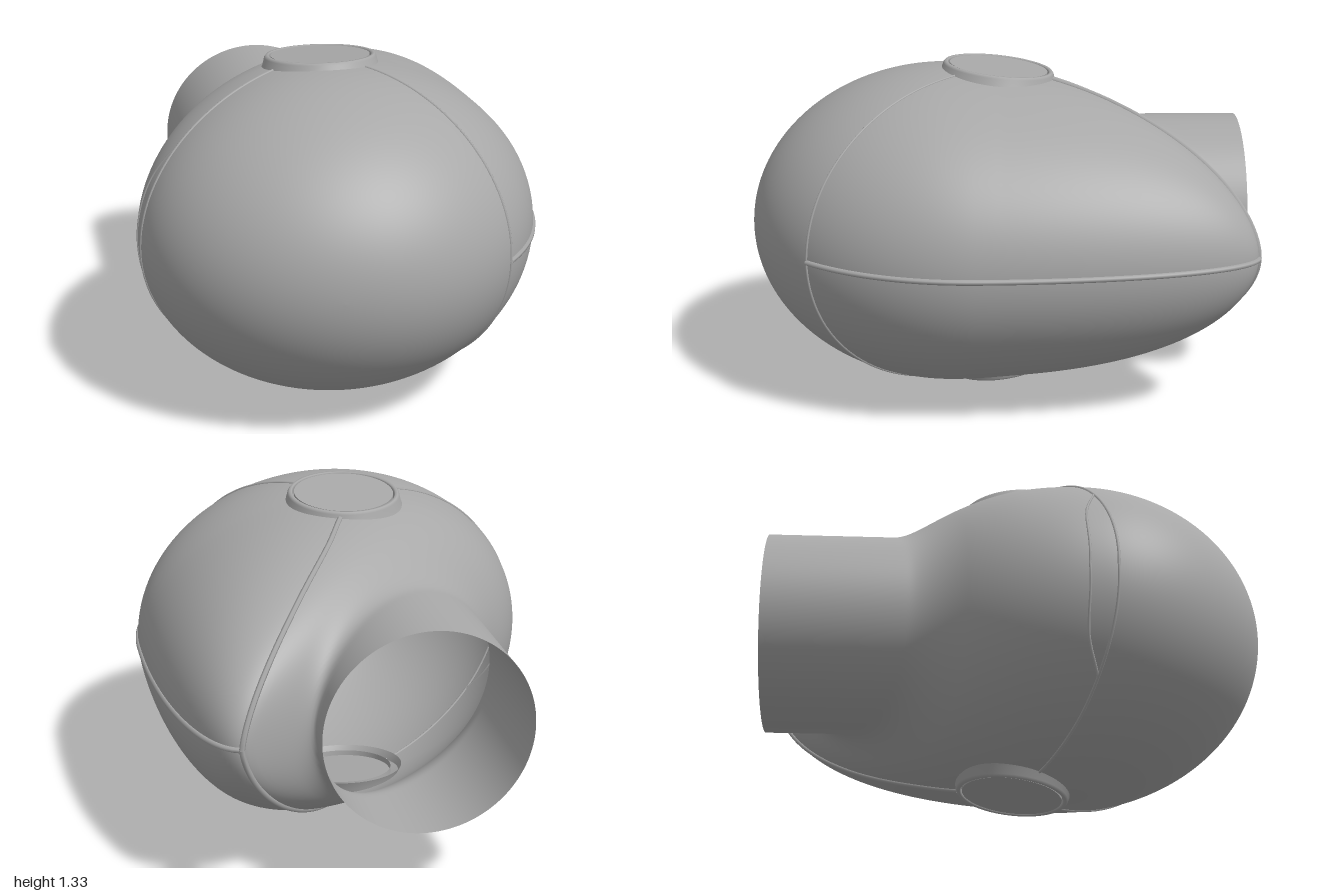
import * as THREE from 'three';

const MID = 0.665;                                   // height of the symmetry plane
const NECK_X = -0.15, NECK_R = 0.4;
const round = (u) => Math.sqrt(Math.max(0, 1 - u * u));

// Cross-section of the pod at depth z: ridge, left and right edges, half height
function section(z) {
  const back = Math.min(1, Math.max(0, -z));
  const ridge = -0.04 + 0.57 * Math.pow(back, 1.5);
  const left = z > 0.3 ? -0.04 - 0.78 * round((z - 0.3) / 0.7)
    : -0.82 + 1.35 * Math.pow(Math.min(1, (0.3 - z) / 1.3), 2.2);
  const right = z > 0.1 ? -0.04 + 0.84 * round((z - 0.1) / 0.9)
    : 0.53 + 0.27 * round((0.1 - z) / 1.1);
  const h = z > 0.2 ? 0.64 * round((z - 0.2) / 0.8)
    : 0.64 * Math.pow(round((0.2 - z) / 1.2), 1.1);
  return { ridge, left, right, h: Math.max(h, 0.003) };
}

// Signed field: teardrop pod blended with the round neck
function field(x, y, z) {
  const s = section(z), dx = x - s.ridge;
  const semi = Math.max(dx > 0 ? s.right - s.ridge : s.ridge - s.left, 0.003);
  const pod = (Math.hypot(dx / semi, y / s.h) - 1) * Math.min(semi, s.h);
  const neck = Math.hypot(x - NECK_X, y, Math.max(0, z)) - NECK_R;
  const k = 0.1, m = Math.max(k - Math.abs(pod - neck), 0) / k;
  return Math.min(pod, neck) - m * m * k * 0.25;
}

// Where a ray from the inner centre meets the shell
function hit(d) {
  const f = (t) => field(NECK_X + d.x * t, d.y * t, d.z * t);
  let hi = 0.2;
  while (hi < 2 && f(hi) < 0) hi += 0.02;
  let lo = hi - 0.02;
  for (let i = 0; i < 18; i++) {
    const m = (lo + hi) / 2;
    if (f(m) < 0) lo = m; else hi = m;
  }
  if (d.z * lo < -1) lo = -1 / d.z;
  return new THREE.Vector3(NECK_X + d.x * lo, MID + d.y * lo, d.z * lo);
}

// Smooth shell, swept in rings from the neck opening to the nose
function shellGeometry() {
  const rows = 160, cols = 192, pos = [], index = [];
  const a0 = Math.atan(NECK_R);
  for (let i = 0; i <= rows; i++) {
    const a = a0 + (Math.PI - 0.0005 - a0) * Math.pow(i / rows, 1.15);
    for (let j = 0; j < cols; j++) {
      const b = (j / cols) * Math.PI * 2;
      const d = new THREE.Vector3(Math.sin(a) * Math.cos(b), Math.sin(a) * Math.sin(b), -Math.cos(a));
      const p = i === 0
        ? new THREE.Vector3(NECK_X + NECK_R * Math.cos(b), MID + NECK_R * Math.sin(b), -1)
        : hit(d);
      pos.push(p.x, p.y, p.z);
      if (i < rows) {
        const n = (j + 1) % cols, r = i * cols, q = r + cols;
        index.push(r + j, r + n, q + j, r + n, q + n, q + j);
      }
    }
  }
  const g = new THREE.BufferGeometry();
  g.setAttribute('position', new THREE.Float32BufferAttribute(pos, 3));
  g.setIndex(index);
  g.computeVertexNormals();
  return g;
}

// Thin bead following the shell through guide points (y measured from the middle)
function seamGeometry(points, radius, side) {
  const guide = new THREE.CatmullRomCurve3(points.map(([x, y, z]) => new THREE.Vector3(x - NECK_X, y * side, z)));
  const path = guide.getPoints(40).map((p) => hit(p.normalize()));
  return new THREE.TubeGeometry(new THREE.CatmullRomCurve3(path), 80, radius, 6);
}

export function createModel() {
  const model = new THREE.Group();
  model.name = 'podShell';
  const grey = new THREE.MeshStandardMaterial({ color: 0xa8a8a8, side: THREE.DoubleSide });
  grey.name = 'plainGrey';
  const add = (name, geometry, parent = model) => {
    const mesh = new THREE.Mesh(geometry, grey);
    mesh.name = name;
    parent.add(mesh);
    return mesh;
  };

  add('shell', shellGeometry());

  // Panel seams, mirrored above and below
  const seams = [
    ['ridgeSeam', 0.011, [[0.02, 0.58, -0.22], [0.104, 0.53, -0.4], [0.26, 0.41, -0.65], [0.39, 0.28, -0.83], [0.53, 0, -0.985]]],
    ['frontSeam', 0.006, [[0.1, 0.62, 0.16], [0.33, 0.53, 0.45], [0.5, 0.29, 0.67], [0.56, 0, 0.75]]],
    ['rightSeam', 0.006, [[-0.23, 0.61, 0.08], [-0.5, 0.515, 0.21], [-0.7, 0.34, 0.3], [-0.815, 0, 0.35]]],
    ['rightBranchSeam', 0.005, [[-0.66, 0.39, 0.28], [-0.74, 0.25, 0.235], [-0.81, 0, 0.24]]],
  ];
  for (const [name, radius, points] of seams)
    for (const side of [1, -1])
      add(name + (side > 0 ? 'Upper' : 'Lower'), seamGeometry(points, radius, side));

  // Rib along the middle of the side panel
  add('sideRib', seamGeometry([[0.56, 0, 0.75], [0.76, 0, 0.35], [0.8, 0, 0], [0.75, 0, -0.5], [0.63, 0, -0.92], [0.54, 0, -0.985]], 0.011, 1));

  // Tilted round caps at top and bottom
  const rim = [[0.204, -0.06], [0.204, -0.004], [0.208, 0.003], [0.218, 0.003], [0.225, -0.006], [0.232, -0.035], [0.25, -0.07]]
    .map(([x, y]) => new THREE.Vector2(x, y));
  for (const side of [1, -1]) {
    const cap = new THREE.Group();
    cap.name = side > 0 ? 'topCap' : 'bottomCap';
    cap.position.set(-0.035, MID + side * 0.638, -0.01);
    if (side < 0) cap.rotation.z = Math.PI;
    const tilt = new THREE.Group();
    tilt.name = 'tiltedCap';
    tilt.rotation.x = -0.11;
    cap.add(tilt);
    add('capDisc', new THREE.CylinderGeometry(0.199, 0.199, 0.04, 64), tilt).position.y = -0.02;
    add('capRim', new THREE.LatheGeometry(rim, 64), tilt);
    model.add(cap);
  }
  return model;
}
